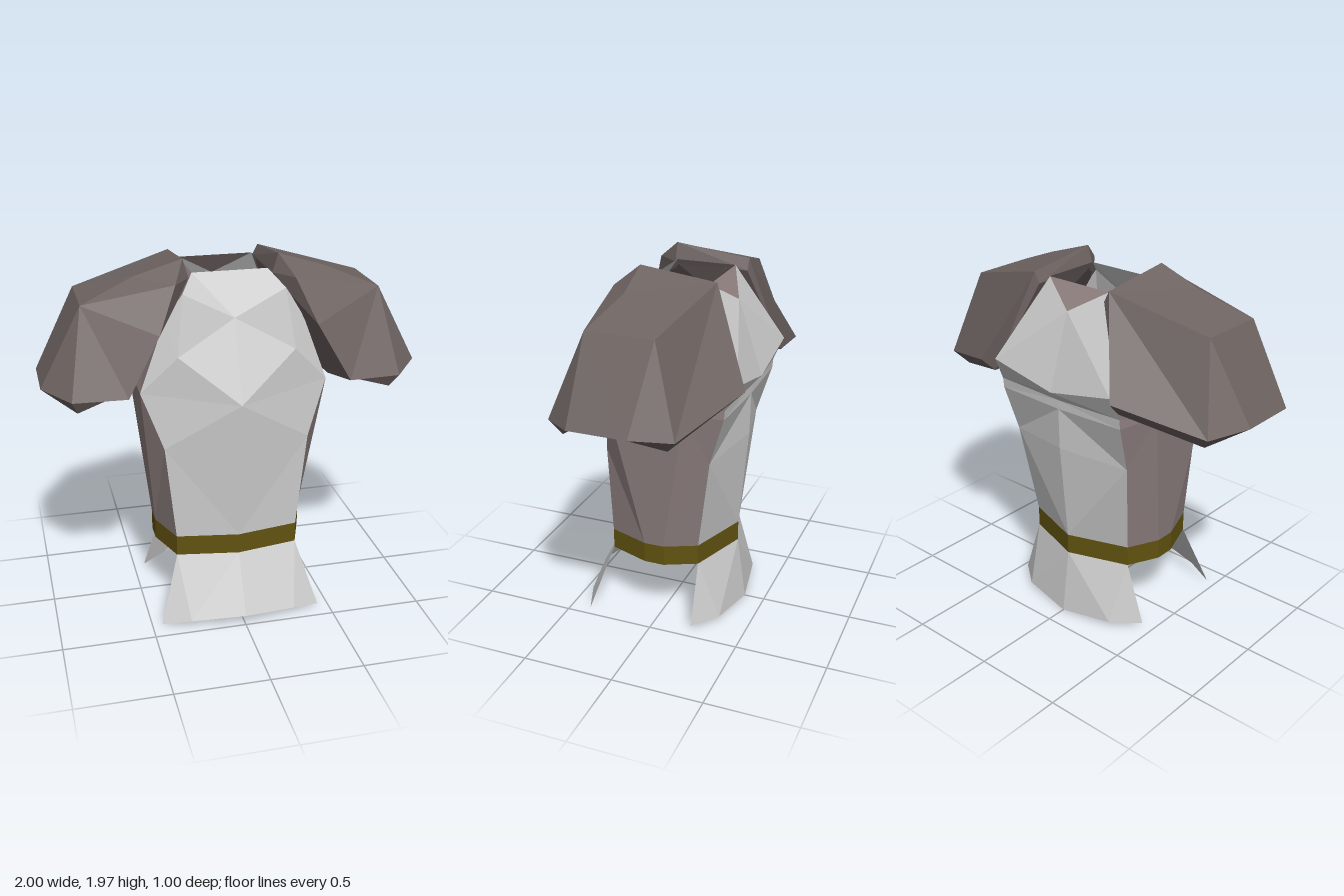
import * as THREE from 'three';

const GREY = 0xcccccc, PAD = 0x6e6462, SIDE = 0x8f8180, BELT = 0x615210;

// Builds a flat-shaded mesh from named points and faces given for the +x half;
// side -1 adds the mirrored half.
function facets(name, color, points, faces, sides = [1, -1]) {
  const pos = [];
  for (const s of sides) {
    for (const face of faces) {
      const v = face.split(' ').map(k => points[k]);
      for (let i = 1; i < v.length - 1; i++) {
        const tri = s > 0 ? [v[0], v[i], v[i + 1]] : [v[0], v[i + 1], v[i]];
        for (const [x, y, z] of tri) pos.push(s * x, y, z);
      }
    }
  }
  const geo = new THREE.BufferGeometry();
  geo.setAttribute('position', new THREE.Float32BufferAttribute(pos, 3));
  geo.computeVertexNormals();
  const mesh = new THREE.Mesh(geo, new THREE.MeshStandardMaterial({
    color, flatShading: true, side: THREE.DoubleSide,
  }));
  mesh.name = name;
  return mesh;
}

// Torso points, +x half
const torso = {
  // front: neck, collar, upper chest, breast, armpit, waist, belt line
  n0: [0, 1.89, 0.11], n1: [0.2, 1.89, 0.11],
  u0: [0, 1.67, 0.22], g: [0.27, 1.81, 0.215], u1: [0.36, 1.68, 0.2],
  p: [0.31, 1.5, 0.28], c: [0, 1.25, 0.385], a: [0.5, 1.3, 0.22],
  w: [0.39, 1, 0.28], b0: [0, 0.475, 0.335], b1: [0.335, 0.475, 0.28],
  // side
  q: [0.5, 1.3, -0.2], ub: [0.34, 1.67, -0.25],
  e: [0.415, 0.475, 0.06], f: [0.415, 0.475, -0.05],
  // back: neck, shoulder blade ridge, stepped strip, waist, belt line
  h: [0, 1.89, -0.22], k1: [0.2, 1.89, -0.22], v: [0, 1.77, -0.31],
  r0: [0, 1.37, -0.445], r1: [0.4, 1.45, -0.445],
  s0: [0, 1.31, -0.39], s1: [0.41, 1.32, -0.385],
  t0: [0, 1.26, -0.39], t1: [0.41, 1.265, -0.38],
  m0: [0, 1.03, -0.385], wb: [0.39, 1, -0.3],
  d0: [0, 0.475, -0.335], d1: [0.335, 0.475, -0.22],
};

const frontFaces = ['u0 g n1 n0', 'u0 p g', 'g p u1', 'p a u1', 'c p u0',
  'c a p', 'c w a', 'c b0 w', 'b0 b1 w'];
const backFaces = ['v k1 r1 r0', 'r0 r1 s1 s0', 's0 s1 t1 t0', 't0 t1 wb m0', 'd0 m0 wb d1'];
const sideFaces = ['w b1 e', 'w e a', 'a e f q', 'f d1 wb', 'f wb q', 'q wb t1',
  'q t1 s1', 'q s1 r1', 'a q ub u1', 'q r1 ub', 'u1 ub k1 n1 g', 'ub r1 k1', 'h k1 v'];

// Shoulder pad: outer shell points; lower-case keys are the edge of the closed inside
const pad = {
  I0: [0.445, 1.45, -0.5], I1: [0.25, 1.92, -0.28], I2: [0.25, 1.97, 0.13],
  P: [0.31, 1.87, 0.25], I3: [0.41, 1.64, 0.335], I4: [0.58, 1.34, 0.385],
  M: [0.5, 1.89, 0.11], Tf: [0.78, 1.78, 0.19], Tb: [0.78, 1.78, -0.17],
  Cf: [0.86, 1.335, 0.36], Bf: [1, 1.36, 0.195], Bb: [1, 1.36, -0.12], Cb: [0.89, 1.33, -0.31],
  i0: [0.43, 1.37, -0.42], i1: [0.22, 1.86, -0.28], i2: [0.22, 1.87, 0.13],
  p: [0.28, 1.79, 0.19], i3: [0.355, 1.68, 0.22], i4: [0.53, 1.305, 0.16],
  cf: [0.83, 1.255, 0.3], cb: [0.83, 1.255, -0.25],
};

const padFaces = [
  // outer shell
  'I1 I2 M', 'I1 M Tb', 'M Tf Tb', 'I2 P M', 'M P Tf', 'P I3 Tf', 'I3 I4 Tf',
  'I4 Cf Tf', 'Cf Bf Tf', 'Tf Bf Bb Tb', 'Tb Bb Cb', 'I1 Tb Cb I0',
  // underside
  'Cf I4 i4 cf', 'Bf Cf cf', 'Bf cf i4', 'i4 cb Bb Bf', 'Cb Bb cb', 'I0 Cb cb i0', 'cb i4 i0',
  // rim and inside facing the torso
  'I1 I0 i0 i1', 'I2 I1 i1 i2', 'P I2 i2 p', 'I3 P p i3', 'I4 I3 i3 i4', 'i0 i4 i3 p i2 i1',
];

export function createModel() {
  const g = new THREE.Group();
  g.name = 'torsoArmor';

  g.add(facets('breastplate', GREY, torso, frontFaces));
  g.add(facets('backplate', GREY, torso, backFaces));
  g.add(facets('sidePanels', SIDE, torso, sideFaces));

  // Belt: the torso's lower edge dropped straight down
  const edge = ['b0', 'b1', 'e', 'f', 'd1', 'd0'];
  const belt = {};
  for (const k of edge) {
    const [x, y, z] = torso[k];
    belt[k] = [x, y, z];
    belt[k + '_'] = [x, 0.362, z];
  }
  const beltFaces = edge.slice(1).map((k, i) => `${edge[i]} ${edge[i]}_ ${k}_ ${k}`);
  g.add(facets('belt', BELT, belt, beltFaces));

  // Flared skirt flaps below the belt
  g.add(facets('frontSkirt', GREY, {
    a: belt.b0_, b: belt.b1_,
    c: [0, 0.055, 0.5], d: [0.29, 0.03, 0.445], e: [0.445, 0, 0.39],
  }, ['a c d', 'a d b', 'b d e']));
  g.add(facets('backSkirt', GREY, {
    a: belt.d0_, b: belt.d1_,
    c: [0, 0, -0.385], d: [0.3, 0.028, -0.335], e: [0.445, 0.028, -0.22],
  }, ['a d c', 'a b d', 'b e d']));

  // Shoulder pads
  for (const [name, s] of [['leftShoulderPad', 1], ['rightShoulderPad', -1]]) {
    g.add(facets(name, PAD, pad, padFaces, [s]));
  }
  return g;
}
